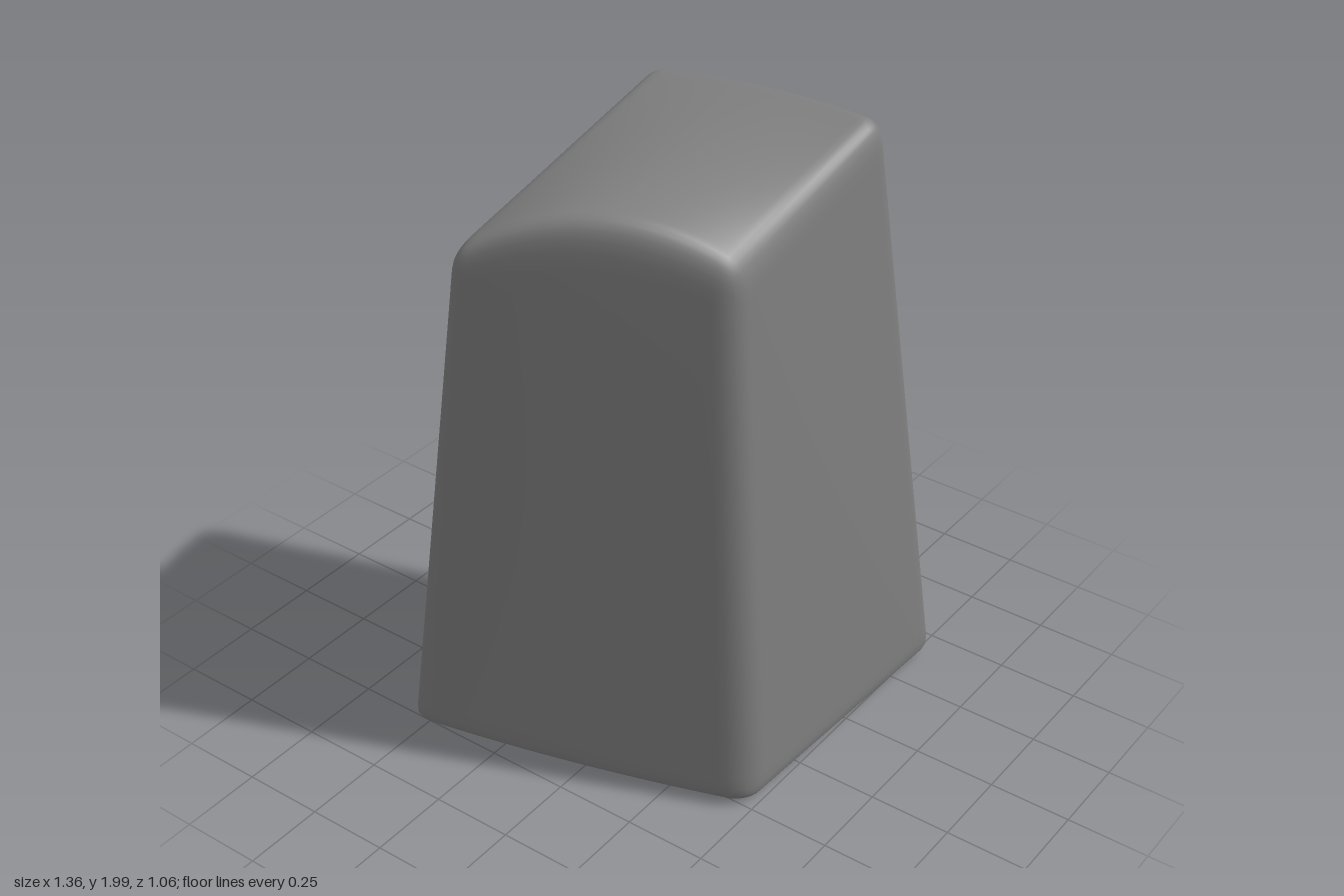
import * as THREE from 'three';
import { mergeVertices } from 'three/addons/utils/BufferGeometryUtils.js';

// Corners of the twisted block, as [right side, left side]
const CORNERS = {
  topFront: [[-0.41, 1.82, 0.52], [0.24, 2.005, 0.53]],
  topBack: [[-0.71, 1.8, -0.145], [0.255, 1.955, -0.22]],
  bottomFront: [[-0.26, 0, 0.5], [0.71, 0, 0.54]],
  bottomBack: [[-0.545, 0, -0.56], [0.265, 0, -0.265]],
};
// Bevel size across, up and deep, as a share of the half size
const BEVEL = new THREE.Vector3(0.14, 0.07, 0.14);

// Rounds the edges of a cube from -1 to 1
function roundCube(p) {
  const inner = new THREE.Vector3(1, 1, 1).sub(BEVEL);
  const core = p.clone().clamp(inner.clone().negate(), inner);
  const offset = p.clone().sub(core).divide(BEVEL).normalize().multiply(BEVEL);
  return core.add(offset);
}

// Blends the eight corners, then swells the worn faces
function placeInBlock(p) {
  const [a, t, c] = [p.x, p.y, p.z].map((n) => (n + 1) / 2);
  const [tf, tb, bf, bb] = ['topFront', 'topBack', 'bottomFront', 'bottomBack'].map((name) => {
    const [right, left] = CORNERS[name].map((v) => new THREE.Vector3(...v));
    return right.lerp(left, a);
  });
  const point = bb.lerp(bf, c).lerp(tb.lerp(tf, c), t);

  const swell = 1 - p.z * p.z;
  point.y += (0.01 + 0.11 * (1 - a)) * swell * t ** 6; // domed top, highest on the right side
  point.x += 0.025 * swell * a; // left face
  point.x -= 0.025 * swell * (1 - a) * (1 - t); // foot of the right face
  return point;
}

export function createModel() {
  const group = new THREE.Group();
  group.name = 'rock';
  const stone = new THREE.MeshStandardMaterial({ color: 0x808080 });
  stone.name = 'stone grey';

  // Grid cube, with the lines crowded towards the edges for the bevels
  let geometry = new THREE.BoxGeometry(2, 2, 2, 32, 32, 32);
  const position = geometry.attributes.position;
  const p = new THREE.Vector3();
  for (let i = 0; i < position.count; i++) {
    p.fromBufferAttribute(position, i);
    p.set(...p.toArray().map((n) => Math.sin((n * Math.PI) / 2)));
    position.setXYZ(i, ...placeInBlock(roundCube(p)).toArray());
  }

  // Weld the sides so that the shading runs smoothly round the bevels
  geometry.deleteAttribute('normal');
  geometry.deleteAttribute('uv');
  geometry = mergeVertices(geometry, 1e-5);
  geometry.computeVertexNormals();

  const block = new THREE.Mesh(geometry, stone);
  block.name = 'stoneBlock';
  group.add(block);
  return group;
}
